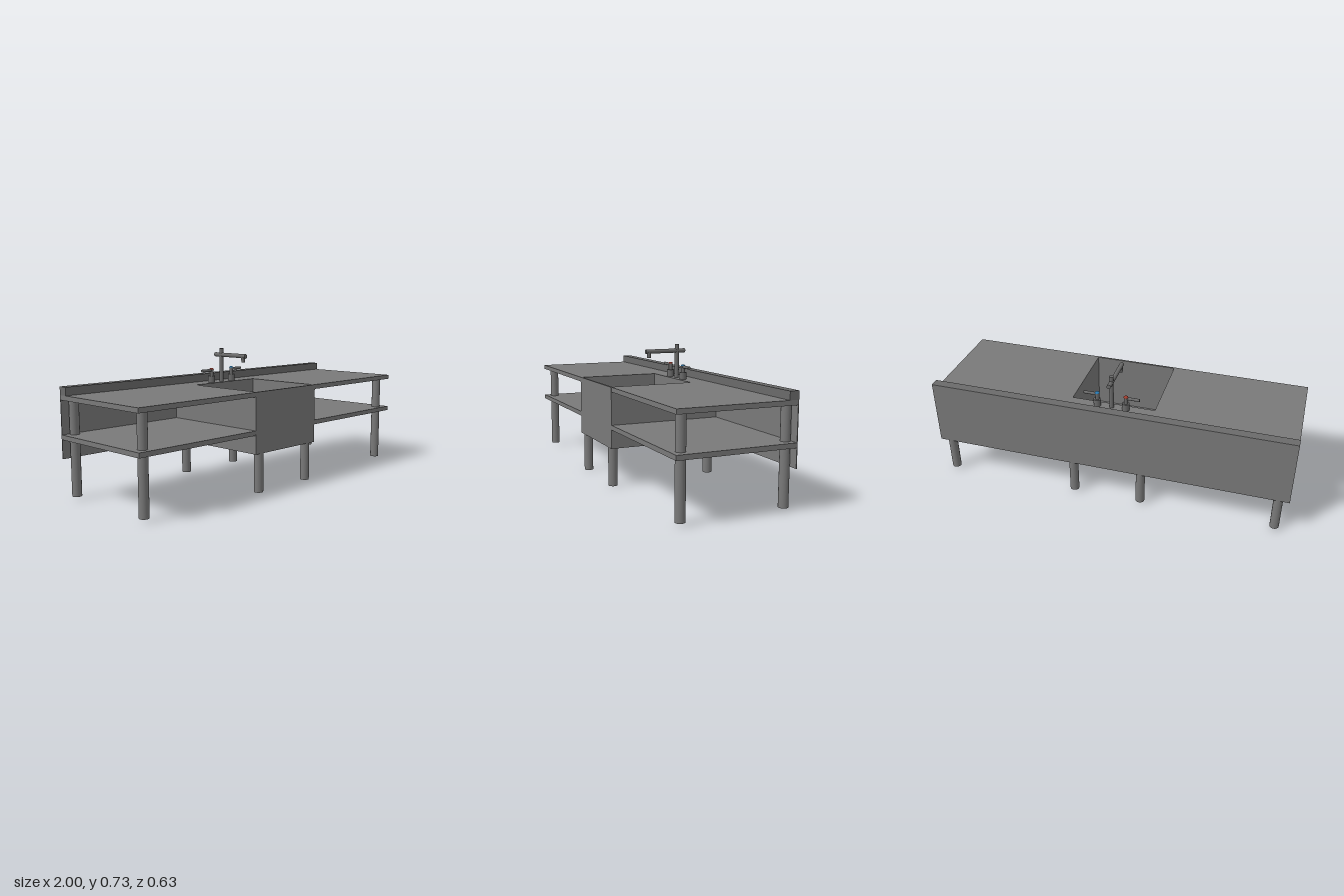
import * as THREE from 'three';

export function createModel() {
  const root = new THREE.Group();
  root.name = 'sinkCounter';
  const tint = (color) => new THREE.MeshStandardMaterial({ color });
  const steel = tint(0x797979);
  const darkSteel = tint(0x6a6a6a);

  const add = (name, geometry, material = steel, parent = root) => {
    const mesh = new THREE.Mesh(geometry, material);
    mesh.name = name;
    parent.add(mesh);
    return mesh;
  };
  // Box given by its lower and upper limits on each axis
  const box = (name, x0, x1, y0, y1, z0, z1, parent = root, material = steel) => {
    const mesh = add(name, new THREE.BoxGeometry(x1 - x0, y1 - y0, z1 - z0), material, parent);
    mesh.position.set((x0 + x1) / 2, (y0 + y1) / 2, (z0 + z1) / 2);
    return mesh;
  };
  // Upright cylinder between two heights
  const post = (name, x, z, y0, y1, r, rBottom = r, parent = root, material = steel) => {
    const mesh = add(name, new THREE.CylinderGeometry(r, rBottom, y1 - y0, 32), material, parent);
    mesh.position.set(x, (y0 + y1) / 2, z);
    return mesh;
  };
  // Horizontal slab from an outline in x and -z
  const slab = (name, shape, y0, y1, parent, material = steel) => {
    const geometry = new THREE.ExtrudeGeometry(shape, { depth: y1 - y0, bevelEnabled: false, curveSegments: 24 });
    const mesh = add(name, geometry.rotateX(-Math.PI / 2), material, parent);
    mesh.position.y = y0;
    return mesh;
  };

  const back = -0.314, front = 0.315;
  const inX = 0.232, outX = 0.243, inBack = -0.153, inFront = 0.305; // basin limits

  // Worktop, notched for the basin and its apron
  const top = new THREE.Shape([
    [-1, front], [-outX, front], [-outX, inFront], [-inX, inFront], [-inX, inBack],
    [inX, inBack], [inX, inFront], [outX, inFront], [outX, front], [1, front], [1, back], [-1, back],
  ].map(([x, z]) => new THREE.Vector2(x, -z)));
  slab('worktop', top, 0.515, 0.54, root);

  // Upstand and back panel
  box('backsplash', -1, 1, 0.54, 0.583, back, -0.264, root, darkSteel);
  box('backPanel', -1, 1, 0.213, 0.583, back - 0.001, back + 0.003);

  // Basin: apron, floor and walls
  const basin = new THREE.Group();
  basin.name = 'basin';
  root.add(basin);
  box('apron', -outX, outX, 0.212, 0.54, inFront, front + 0.001, basin);
  box('basinFloor', -outX, outX, 0.212, 0.228, back + 0.003, inFront, basin);
  box('basinBackWall', -inX, inX, 0.228, 0.515, inBack - 0.01, inBack, basin);

  for (const s of [-1, 1]) {
    const wall = box('basinSideWall', inX, outX, 0.228, 0.515, back + 0.003, inFront, basin);
    wall.position.x *= s;

    // Lower shelf on each side of the basin
    const shelf = box('shelf', outX, 1, 0.313, 0.338, back + 0.003, front);
    shelf.position.x *= s;

    // Legs
    post('frontCornerLeg', s * 0.94, 0.264, 0.015, 0.515, 0.025);
    post('backCornerLeg', s * 0.94, -0.287, 0.015, 0.515, 0.025);
    post('frontMiddleLeg', s * 0.193, 0.29, 0, 0.212, 0.025);
    post('backMiddleLeg', s * 0.193, -0.287, 0.015, 0.212, 0.025);

    // Tap handles with a coloured cap
    const handle = new THREE.Group();
    handle.name = s < 0 ? 'rightHandle' : 'leftHandle';
    handle.position.set(s * 0.08, 0, -0.186);
    root.add(handle);
    post('handleBase', 0, 0, 0.54, 0.579, 0.02, 0.02, handle, darkSteel);
    post('handleStem', 0, 0, 0.579, 0.616, 0.011, 0.011, handle, darkSteel);
    const lever = post('handleLever', 0, 0, 0, 0.075, 0.008, 0.008, handle, darkSteel);
    lever.rotation.z = Math.PI / 2;
    lever.position.set(s * 0.038, 0.61, 0);
    const cap = add('handleCap', new THREE.SphereGeometry(0.013, 24, 8, 0, Math.PI * 2, 0, Math.PI / 2),
      tint(s < 0 ? 0x9c3a2c : 0x2878b0), handle);
    cap.scale.y = 0.6;
    cap.position.y = 0.616;
  }

  // Drain ring and strainer
  const ring = new THREE.Shape().absarc(0, 0, 0.05, 0, Math.PI * 2);
  ring.holes.push(new THREE.Path().absarc(0, 0, 0.032, 0, Math.PI * 2));
  slab('drainRing', ring, 0.228, 0.234, basin).position.z = 0.065;
  post('drainStrainer', 0, 0.065, 0.228, 0.23, 0.032, 0.032, basin, tint(0x80804c));

  // Faucet: column, crossing spout and nozzle
  const faucet = new THREE.Group();
  faucet.name = 'faucet';
  root.add(faucet);
  post('faucetColumn', 0, -0.186, 0.54, 0.733, 0.012, 0.012, faucet, darkSteel);
  const spout = post('faucetSpout', 0, 0, 0, 0.245, 0.012, 0.012, faucet, darkSteel);
  spout.rotation.x = Math.PI / 2;
  spout.position.set(0, 0.696, -0.1125);
  post('faucetNozzle', 0, -0.01, 0.66, 0.695, 0.013, 0.01, faucet, darkSteel);

  return root;
}
